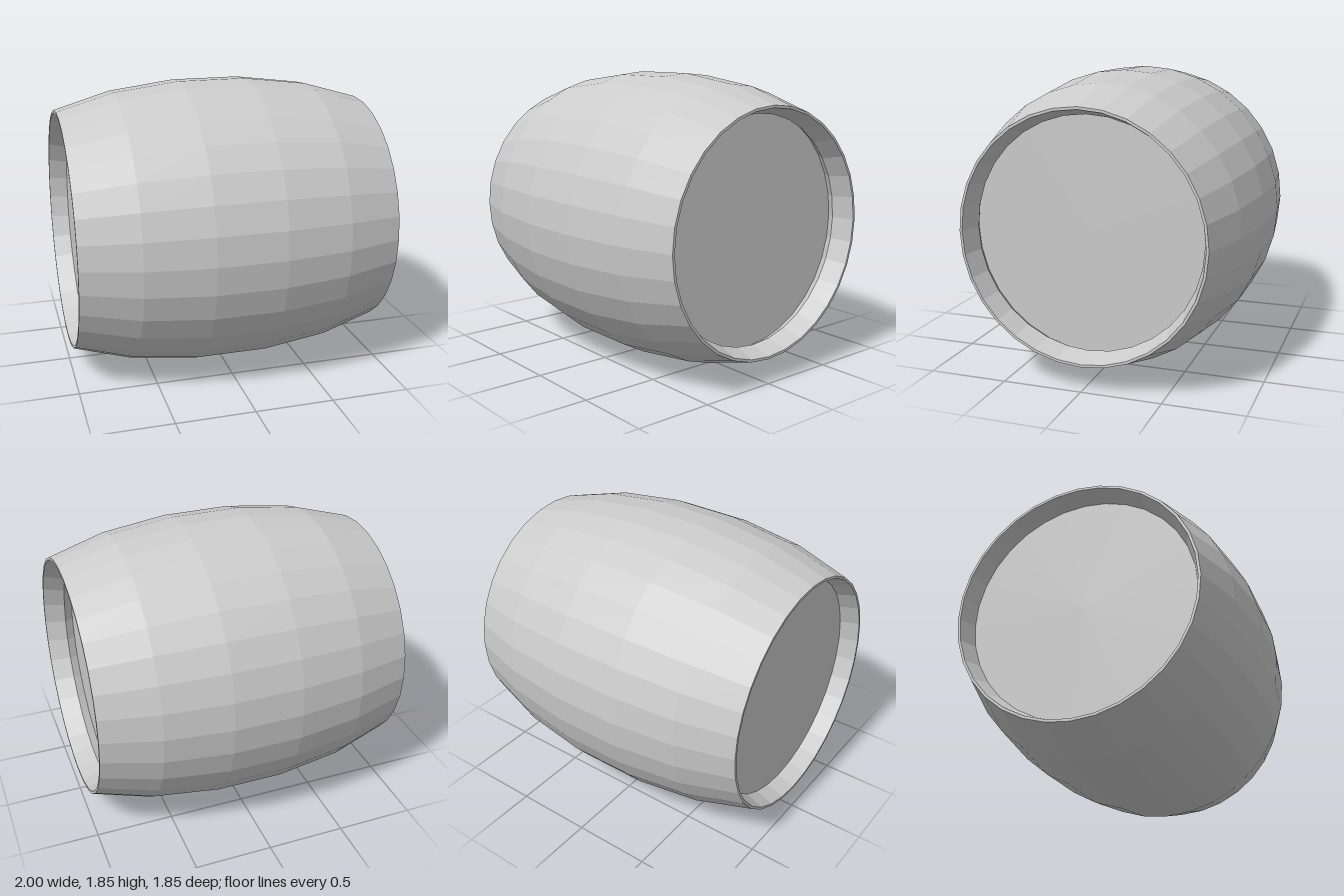
import * as THREE from 'three';

const SIDES = 32;

export function createModel() {
  const model = new THREE.Group();
  model.name = 'barrel';
  const material = new THREE.MeshStandardMaterial({ color: 0xcccccc, flatShading: true });

  // Turned part lying along x; each point is [radius, x], listed from -x to +x on the outside
  const addTurned = (name, points) => {
    const profile = points.map(([r, x]) => new THREE.Vector2(r, x));
    const geometry = new THREE.LatheGeometry(profile, SIDES);
    geometry.rotateZ(-Math.PI / 2);
    const mesh = new THREE.Mesh(geometry, material);
    mesh.name = name;
    mesh.position.y = 0.924;
    model.add(mesh);
  };

  // Bulging stave wall with thin flat rims
  addTurned('staves', [
    [0.75, -1], [0.766, -1], [0.87, -0.64], [0.923, -0.22],
    [0.923, 0.22], [0.87, 0.64], [0.766, 1], [0.75, 1],
  ]);

  // Recessed heads with tapering inner rims; the left one sits behind an undercut lip
  addTurned('rightHead', [[0, -0.88], [0.715, -0.88], [0.75, -1]]);
  addTurned('leftHead', [[0.75, 1], [0.71, 0.865], [0.738, 0.81], [0, 0.81]]);

  return model;
}
